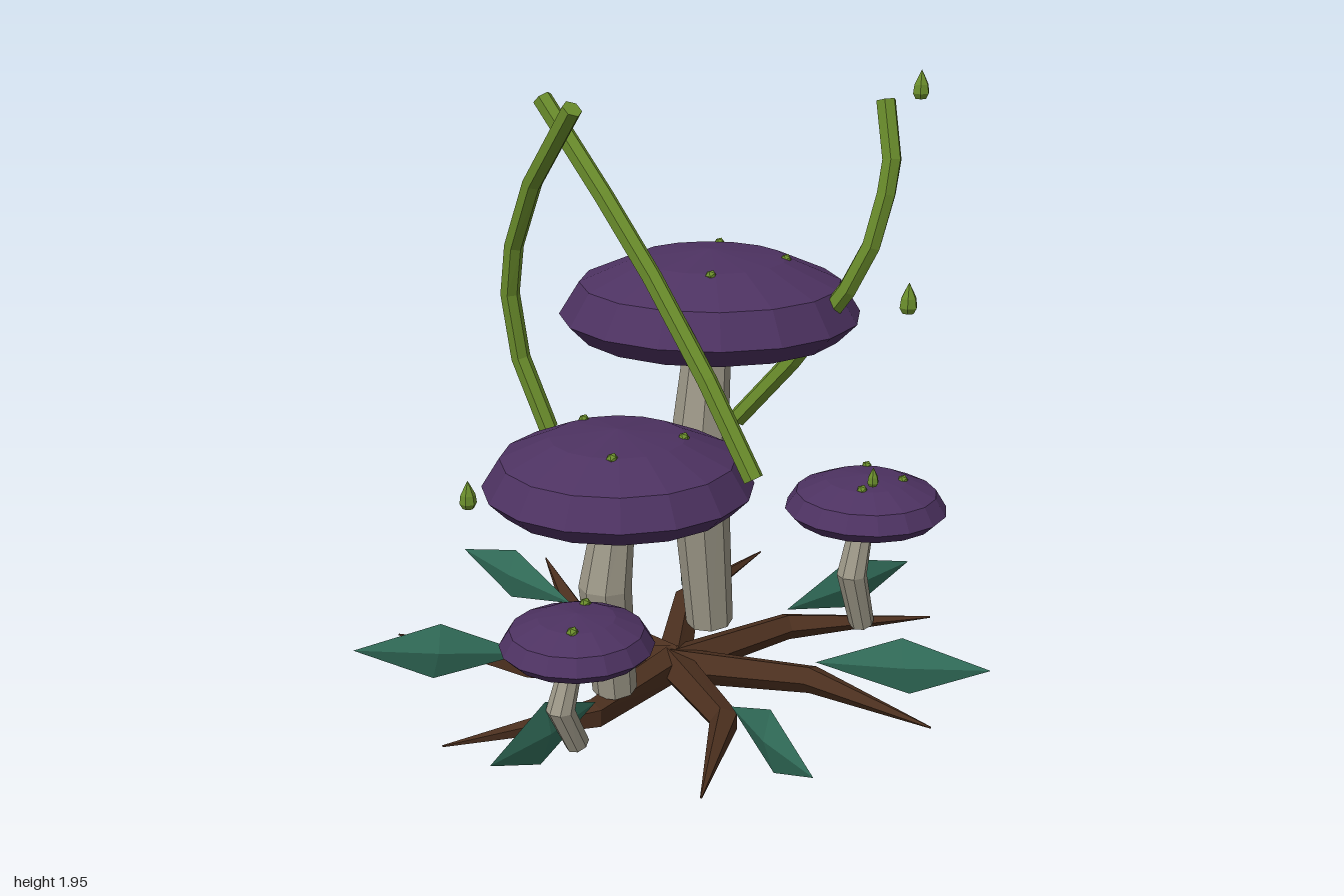
import * as THREE from 'three';

const V = (x, y, z) => new THREE.Vector3(x, y, z);
const paint = (name, color) => new THREE.MeshStandardMaterial({ name, color });

// Faceted copy of a geometry
function flat(geo) {
  const g = geo.index ? geo.toNonIndexed() : geo;
  g.computeVertexNormals();
  return g;
}

// Closed faceted tube through points, with one radius per point
function loft(points, radii, sides, ref) {
  const pos = [], idx = [], n = points.length;
  points.forEach((p, i) => {
    const t = points[Math.min(i + 1, n - 1)].clone().sub(points[Math.max(i - 1, 0)]).normalize();
    const a = t.clone().cross(ref).normalize(), b = t.clone().cross(a);
    for (let j = 0; j < sides; j++) {
      const w = (j / sides) * Math.PI * 2;
      const q = p.clone().addScaledVector(a, radii[i] * Math.cos(w)).addScaledVector(b, radii[i] * Math.sin(w));
      pos.push(q.x, q.y, q.z);
    }
  });
  for (let i = 0; i < n - 1; i++) {
    for (let j = 0; j < sides; j++) {
      const k = (j + 1) % sides, a = i * sides, b = a + sides;
      idx.push(a + j, a + k, b + k, a + j, b + k, b + j);
    }
  }
  const last = (n - 1) * sides;
  for (let j = 1; j < sides - 1; j++) idx.push(0, j + 1, j, last, last + j, last + j + 1);
  const g = new THREE.BufferGeometry();
  g.setAttribute('position', new THREE.Float32BufferAttribute(pos, 3));
  g.setIndex(idx);
  return flat(g);
}

export function createModel() {
  const model = new THREE.Group();
  model.name = 'mushroomCluster';
  const capMat = paint('purple cap', 0x4d3261);
  const stemMat = paint('pale stem', 0x9d9888);
  const rootMat = paint('brown root', 0x4c301f);
  const leafMat = paint('teal leaf', 0x33705c);
  const vineMat = paint('olive green', 0x6b8e2c);

  const add = (parent, name, geo, mat, p = V(0, 0, 0)) => {
    const m = new THREE.Mesh(geo, mat);
    m.name = name;
    m.position.copy(p);
    parent.add(m);
    return m;
  };

  // Mushrooms: cap centre and radius, bent stem, cap spots as [x, z]
  const mushrooms = [
    { name: 'tallMushroom', c: V(0.25, 1.175, -0.03), R: 0.48,
      stem: [V(0.25, 0.11, -0.02), V(0.185, 0.7, -0.02), V(0.245, 1.17, -0.025)], r: [0.078, 0.098, 0.07],
      spots: [[0.45, -0.165], [0.07, 0.13], [0.4, 0.155]] },
    { name: 'middleMushroom', c: V(-0.318, 0.778, 0.11), R: 0.405,
      stem: [V(-0.34, 0.12, 0.11), V(-0.378, 0.47, 0.11), V(-0.32, 0.77, 0.11)], r: [0.068, 0.08, 0.056],
      spots: [[-0.47, 0.235], [-0.195, 0.26], [-0.27, -0.08]] },
    { name: 'leftSmallMushroom', c: V(0.612, 0.508, 0.343), R: 0.267,
      stem: [V(0.61, 0.095, 0.345), V(0.545, 0.29, 0.345), V(0.605, 0.5, 0.345)], r: [0.042, 0.05, 0.037],
      spots: [[0.72, 0.265], [0.68, 0.44], [0.51, 0.4]] },
    { name: 'rightSmallMushroom', c: V(-0.63, 0.412, 0.245), R: 0.223,
      stem: [V(-0.635, 0.1, 0.245), V(-0.7, 0.23, 0.245), V(-0.635, 0.41, 0.245)], r: [0.036, 0.042, 0.03],
      spots: [[-0.71, 0.31], [-0.55, 0.2]] },
  ];
  const capProfile = [[0, -0.13], [0.87, -0.13], [1, 0], [0.866, 0.215], [0.5, 0.372], [0, 0.43]];
  for (const { name, c, R, stem, r, spots } of mushrooms) {
    const g = new THREE.Group();
    g.name = name;
    model.add(g);
    const pts = capProfile.map(([x, y]) => new THREE.Vector2(x * R, y * R));
    add(g, 'cap', flat(new THREE.LatheGeometry(pts, 16)), capMat, c);
    add(g, 'stem', loft(stem, r, 8, V(0, 0, 1)), stemMat);
    // Thin collar where stem meets cap
    const top = stem[2];
    add(g, 'collar', flat(new THREE.CylinderGeometry(r[2] * 1.15, r[2] * 1.15, 0.015, 8)), vineMat,
      V(top.x, c.y - 0.13 * R, top.z));
    for (const [x, z] of spots) {
      const d = Math.hypot(x - c.x, z - c.z) / R;
      add(g, 'capSpot', new THREE.IcosahedronGeometry(0.018, 0), vineMat,
        V(x, c.y + 0.42 * R * Math.sqrt(1 - d * d), z));
    }
  }

  // Ground ring: roots and leaves share one centre
  const cz = 0.04;
  const polar = (deg, r, y) => {
    const a = (deg * Math.PI) / 180;
    return V(r * Math.cos(a), y, cz + r * Math.sin(a));
  };
  const leafGeo = leafGeometry();
  for (let i = 0; i < 7; i++) {
    const step = (i * 360) / 7, rootAngle = -21.5 + step;
    add(model, 'root', loft(
      [V(0, 0.06, cz), polar(rootAngle - 15, 0.46, 0.08), polar(rootAngle, 0.915, 0.1)],
      [0.06, 0.046, 0.003], 5, V(0, 1, 0)), rootMat);
    const leaf = add(model, 'leaf', leafGeo, leafMat, V(0, 0, cz));
    leaf.rotation.y = ((90 - step) * Math.PI) / 180;
  }

  // Vines
  const vines = [
    [V(-0.31, 1.87, -0.07), V(-0.285, 1.63, -0.27), V(-0.26, 1.42, -0.385), V(-0.245, 1.26, -0.425),
      V(-0.22, 1.05, -0.41), V(-0.195, 0.83, -0.315)],
    [V(-0.2, 1.87, -0.31), V(-0.175, 1.6, -0.08), V(-0.155, 1.38, 0.095), V(-0.14, 1.1, 0.3), V(-0.125, 0.83, 0.47)],
    [V(0.462, 1.87, 0.47), V(0.44, 1.7, 0.515), V(0.425, 1.6, 0.51), V(0.4, 1.44, 0.48), V(0.375, 1.3, 0.415),
      V(0.335, 1.05, 0.24), V(0.29, 0.83, 0.055)],
  ];
  for (const path of vines) {
    add(model, 'vine', loft(path, path.map(() => 0.031), 6, V(1, 0, 0)), vineMat);
  }

  // Floating spores: [x, y, z, height]
  const sporeProfile = [[0, -0.5], [0.2, -0.48], [0.3, -0.3], [0.26, 0], [0.12, 0.28], [0, 0.5]];
  const sporeGeo = flat(new THREE.LatheGeometry(sporeProfile.map(([x, y]) => new THREE.Vector2(x, y)), 6));
  const spores = [[0.57, 1.91, 0.52, 0.088], [0.815, 1.18, 0.34, 0.105], [0.37, 0.725, 0.54, 0.062],
    [-0.735, 0.81, -0.085, 0.085], [0.6, 0.45, 0.05, 0.062]];
  for (const [x, y, z, h] of spores) {
    add(model, 'spore', sporeGeo, vineMat, V(x, y, z)).scale.setScalar(h);
  }
  return model;
}

// Upright diamond blade pointing along +x, thickest on its midrib
function leafGeometry() {
  const g = new THREE.BufferGeometry();
  g.setAttribute('position', new THREE.Float32BufferAttribute([
    0.47, 0.13, 0, 0.74, 0.25, 0, 1.015, 0.178, 0, 0.77, 0.065, 0, 0.75, 0.16, 0.026, 0.75, 0.16, -0.026], 3));
  const idx = [];
  for (let i = 0; i < 4; i++) {
    const k = (i + 1) % 4;
    idx.push(4, k, i, 5, i, k);
  }
  g.setIndex(idx);
  return flat(g);
}
